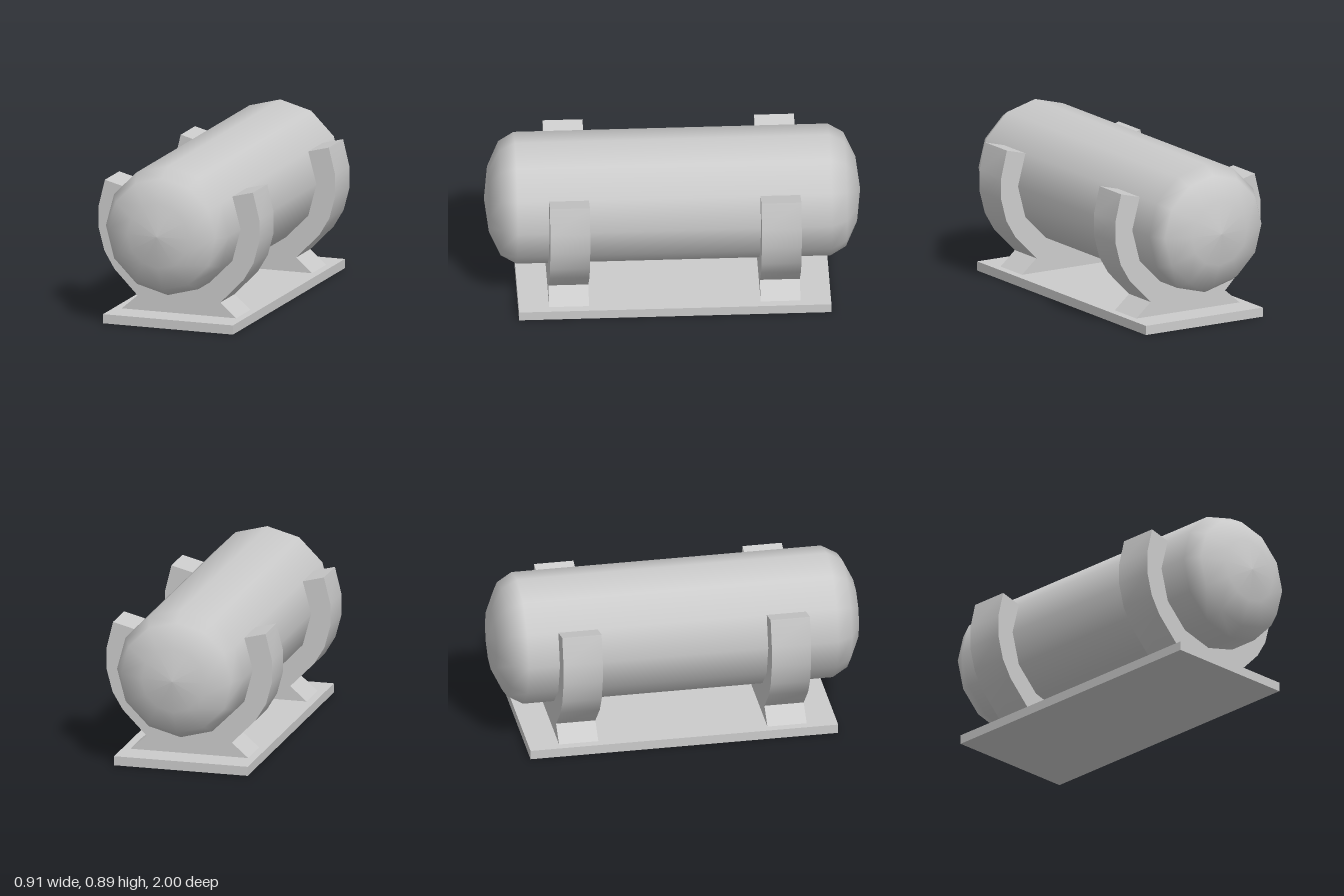
import * as THREE from 'three';
import { toCreasedNormals } from 'three/addons/utils/BufferGeometryUtils.js';

const R = 0.351, AXIS_Y = 0.537, SIDES = 12;
const TANK_END = 0.835, DOME = 0.165;
const BASE_H = 0.05, BASE_LEN = 1.66;
const SADDLE_IN = 0.456, SADDLE_OUT = 0.668;

const grey = new THREE.MeshStandardMaterial({ color: 0xcccccc });

function part(name, geometry, parent) {
  const mesh = new THREE.Mesh(geometry, grey);
  mesh.name = name;
  parent.add(mesh);
  return mesh;
}

// Twelve-sided tank with a shallow three-step dome at each end
function tankGeometry() {
  const dome = [];
  for (let i = 0; i <= 3; i++) {
    const a = (i / 3) * Math.PI / 2;
    dome.push(new THREE.Vector2(i === 3 ? 0 : R * Math.cos(a), TANK_END + DOME * Math.sin(a)));
  }
  const lower = dome.map((p) => new THREE.Vector2(p.x, -p.y)).reverse();
  return new THREE.LatheGeometry([...lower, ...dome], SIDES).rotateX(Math.PI / 2);
}

// Cradle outline: outer curve down to a flared foot, inner edge hugging the tank
function saddleGeometry() {
  const outer = [
    [0.421, 0.743], [0.457, 0.597], [0.457, 0.48], [0.424, 0.357],
    [0.367, 0.262], [0.235, 0.128], [0.325, BASE_H],
  ];
  const points = outer.slice().reverse().map(([x, y]) => new THREE.Vector2(x, y));
  for (let i = 1; i >= -7; i--) {
    const a = (i * Math.PI) / 6;
    points.push(new THREE.Vector2(R * Math.cos(a), AXIS_Y + R * Math.sin(a)));
  }
  outer.forEach(([x, y]) => points.push(new THREE.Vector2(-x, y)));
  const depth = SADDLE_OUT - SADDLE_IN;
  const geometry = new THREE.ExtrudeGeometry(new THREE.Shape(points), { depth, bevelEnabled: false });
  return toCreasedNormals(geometry.translate(0, 0, -depth / 2), 0.6);
}

export function createModel() {
  const model = new THREE.Group();
  model.name = 'tankOnCradles';

  part('tank', tankGeometry(), model).position.y = AXIS_Y;

  // Flat base plate
  part('basePlate', new THREE.BoxGeometry(0.738, BASE_H, BASE_LEN), model).position.y = BASE_H / 2;

  // Front and back cradles
  const saddle = saddleGeometry();
  for (const [name, side] of [['frontSaddle', 1], ['backSaddle', -1]]) {
    part(name, saddle, model).position.z = side * (SADDLE_IN + SADDLE_OUT) / 2;
  }
  return model;
}
